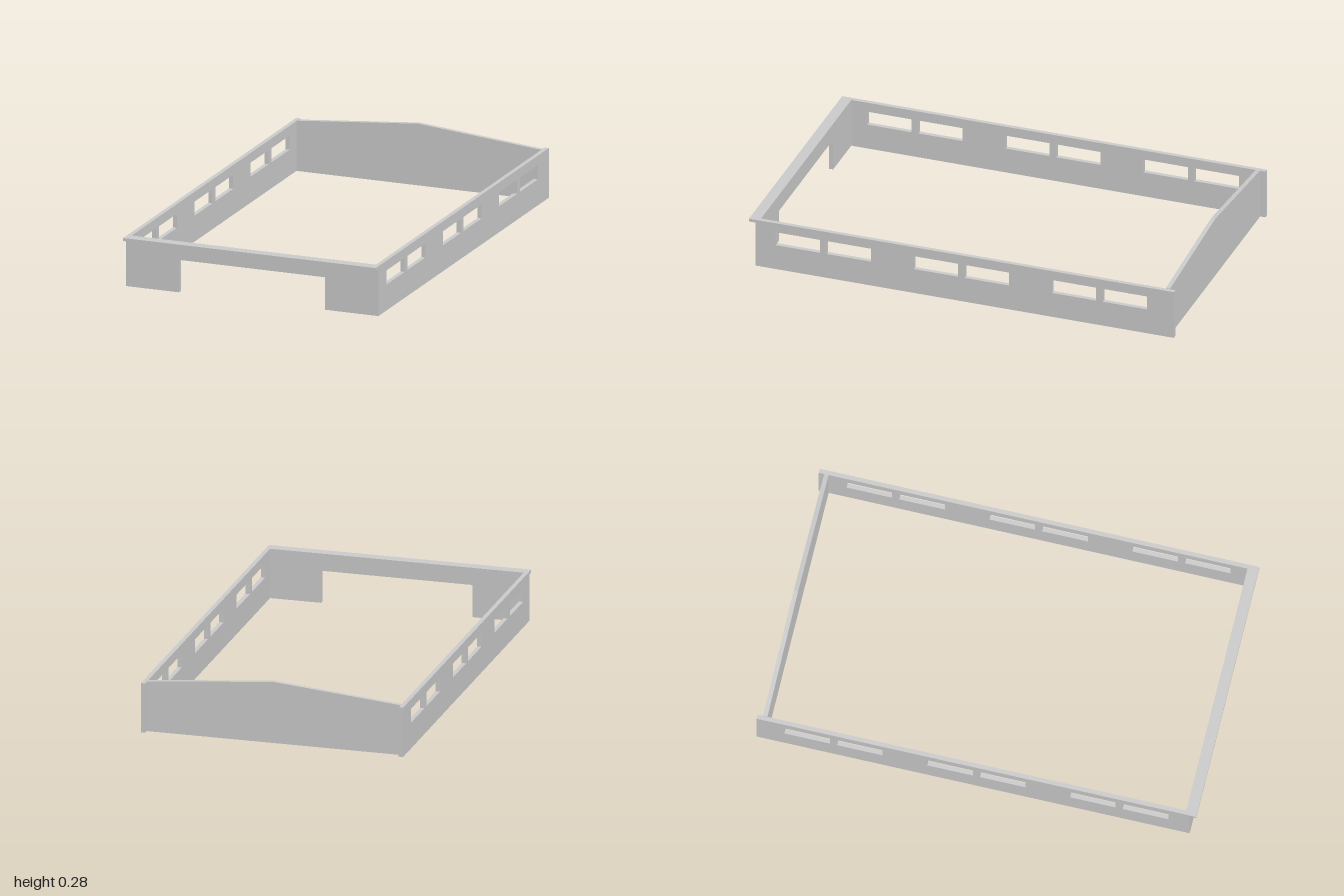
import * as THREE from 'three';

const HALF = 0.605, T = 0.02, H = 0.23;
const material = new THREE.MeshStandardMaterial({ color: 0xcccccc });

function outline(points) {
  return new THREE.Shape(points.map(([x, y]) => new THREE.Vector2(x, y)));
}

function panel(name, shape, depth = T) {
  const geometry = new THREE.ExtrudeGeometry(shape, { depth, bevelEnabled: false });
  const mesh = new THREE.Mesh(geometry, material);
  mesh.name = name;
  return mesh;
}

// Long wall drawn in z/y, pierced by three pairs of windows
function sideWall(name, outerX) {
  const shape = outline([[-1, 0], [0.97, 0], [0.97, H], [-1, H]]);
  for (const centre of [-0.65, 0, 0.65]) {
    for (const side of [-1, 1]) {
      const a = centre + side * 0.016, b = centre + side * 0.224;
      shape.holes.push(outline([[a, 0.12], [b, 0.12], [b, 0.185], [a, 0.185]]));
    }
  }
  const wall = panel(name, shape);
  wall.geometry.rotateY(-Math.PI / 2);
  wall.position.x = outerX;
  return wall;
}

export function createModel() {
  const model = new THREE.Group();
  model.name = 'perimeterWalls';

  model.add(sideWall('leftWall', HALF), sideWall('rightWall', -HALF + T));

  const inner = HALF - T;

  // Front wall with a wide doorway
  const front = panel('frontWall', outline([
    [-inner, 0], [-0.35, 0], [-0.35, 0.15], [0.35, 0.15],
    [0.35, 0], [inner, 0], [inner, H], [-inner, H],
  ]));
  front.position.z = 0.95;
  model.add(front);

  // Ledge projecting over the front wall
  const ledge = new THREE.Mesh(new THREE.BoxGeometry(2 * HALF, 0.014, 0.03), material);
  ledge.name = 'frontLedge';
  ledge.position.set(0, H - 0.007, 0.985);
  model.add(ledge);

  // Back wall rising to a shallow gable
  const back = panel('backGable', outline([
    [-inner, 0], [inner, 0], [inner, H + 0.002], [0, 0.285], [-inner, H + 0.002],
  ]));
  back.position.z = -0.975;
  model.add(back);

  return model;
}
